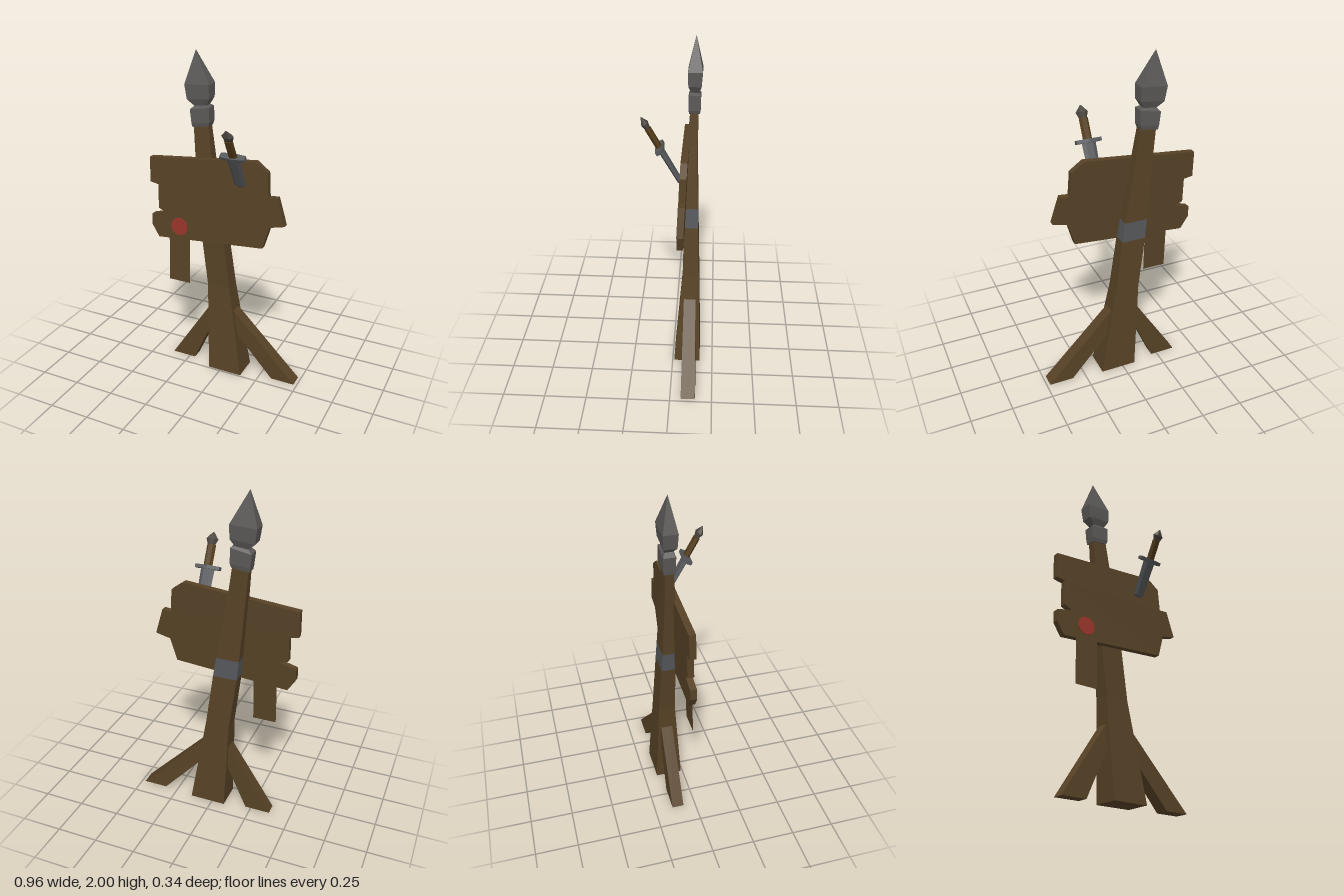
import * as THREE from 'three';

const mat = (name, color) => {
  const m = new THREE.MeshStandardMaterial({ color, flatShading: true });
  m.name = name;
  return m;
};

// Loft through four-cornered sections, bottom to top: [xLeft, yLeft, xRight, yRight, zBack, zFront]
function loft(sections) {
  const rings = sections.map(([xl, yl, xr, yr, zb, zf]) => [
    [xl, yl, zf], [xr, yr, zf], [xr, yr, zb], [xl, yl, zb],
  ]);
  const pos = [];
  const quad = (a, b, c, d) => pos.push(...a, ...b, ...c, ...a, ...c, ...d);
  for (let i = 0; i < rings.length - 1; i++) {
    const lo = rings[i], hi = rings[i + 1];
    for (let k = 0; k < 4; k++) {
      const n = (k + 1) % 4;
      quad(lo[k], lo[n], hi[n], hi[k]);
    }
  }
  const a = rings[0], b = rings[rings.length - 1];
  quad(a[3], a[2], a[1], a[0]);
  quad(b[0], b[1], b[2], b[3]);
  const g = new THREE.BufferGeometry();
  g.setAttribute('position', new THREE.Float32BufferAttribute(pos, 3));
  g.computeVertexNormals();
  return g;
}

export function createModel() {
  const wood = mat('wood', 0x574226);
  const gripWood = mat('gripWood', 0x523b18);
  const iron = mat('iron', 0x5b5957);
  const steel = mat('steel', 0x55575a);
  const darkIron = mat('darkIron', 0x4a443e);
  const red = mat('red', 0x98352a);
  const cloth = mat('strip', 0x574226);
  cloth.side = THREE.DoubleSide;

  const model = new THREE.Group();
  const add = (parent, name, geometry, material, x = 0, y = 0, z = 0) => {
    const m = new THREE.Mesh(geometry, material);
    m.name = name;
    m.position.set(x, y, z);
    parent.add(m);
    return m;
  };

  // Leaning, tapered post with an iron band around it
  const bandLow = [-0.147, 0.9, -0.002, 0.9, -0.143, -0.06];
  const bandHigh = [-0.158, 1.02, -0.02, 1.02, -0.139, -0.062];
  add(model, 'lowerPost', loft([
    [-0.08, 0, 0.14, 0, -0.17, -0.01],
    [-0.105, 0.58, 0.04, 0.58, -0.154, -0.055],
    bandLow,
  ]), wood);
  add(model, 'postBand', loft([bandLow, bandHigh]), steel);
  add(model, 'upperPost', loft([
    bandHigh,
    [-0.188, 1.39, -0.083, 1.39, -0.13, -0.07],
    [-0.205, 1.6, -0.112, 1.6, -0.13, -0.085],
  ]), wood);

  // Bracing legs
  add(model, 'rightLeg', loft([
    [-0.37, 0, -0.215, 0, -0.142, -0.072],
    [-0.05, 0.5, -0.05, 0.37, -0.14, -0.07],
  ]), wood);
  add(model, 'leftLeg', loft([
    [0.33, 0, 0.48, 0, -0.15, -0.065],
    [0.03, 0.33, 0.03, 0.465, -0.135, -0.065],
  ]), wood);

  // Spear head: collar, neck and four-sided point
  add(model, 'spearHead', loft([
    [-0.21, 1.565, -0.108, 1.58, -0.138, -0.08],
    [-0.214, 1.59, -0.101, 1.602, -0.143, -0.075],
    [-0.223, 1.668, -0.102, 1.69, -0.143, -0.075],
    [-0.2, 1.69, -0.122, 1.7, -0.132, -0.087],
    [-0.24, 1.725, -0.1, 1.74, -0.146, -0.073],
    [-0.253, 1.81, -0.1, 1.82, -0.152, -0.07],
    [-0.198, 2, -0.197, 2, -0.112, -0.111],
  ]), iron);

  // Broken sign board, tilted so its bottom edge sits further forward
  const tilt = (y) => -0.025 - (y - 0.85) * 0.035;
  const outline = [
    [-0.48, 1.36], [-0.48, 1.205], [-0.425, 1.195], [-0.425, 1.045], [-0.38, 1.025],
    [-0.472, 0.998], [-0.472, 0.93], [-0.425, 0.855], [0.26, 0.912], [0.3, 1.05],
    [0.39, 1.072], [0.34, 1.233], [0.285, 1.228], [0.275, 1.37], [0.2, 1.425],
  ];
  const boardGeo = new THREE.ExtrudeGeometry(
    new THREE.Shape(outline.map(([x, y]) => new THREE.Vector2(x, y))),
    { depth: 0.038, bevelEnabled: false });
  const p = boardGeo.attributes.position;
  for (let i = 0; i < p.count; i++) p.setZ(i, p.getZ(i) - 0.038 + tilt(p.getY(i)));
  boardGeo.computeVertexNormals();
  add(model, 'signBoard', boardGeo, wood);

  // Hanging strip held by a round red seal
  const strip = add(model, 'hangingStrip', new THREE.PlaneGeometry(0.142, 0.375), cloth,
    -0.278, 0.772, tilt(0.772) + 0.005);
  strip.rotation.x = -0.035;
  const seal = add(model, 'redSeal', new THREE.CylinderGeometry(0.055, 0.055, 0.006, 20), red,
    -0.28, 0.95, tilt(0.95) + 0.006);
  seal.rotation.x = Math.PI / 2 - 0.035;

  // Dagger stuck into the board, leaning forward
  const dagger = new THREE.Group();
  dagger.name = 'dagger';
  dagger.position.set(0.113, 1.473, 0.07);
  dagger.rotation.x = 0.51;
  model.add(dagger);

  const prism = (rTop, rBottom, h, sides, flat) => {
    const g = new THREE.CylinderGeometry(rTop, rBottom, h, sides);
    g.rotateY(Math.PI / 2);
    g.scale(1, 1, flat);
    return g;
  };
  add(dagger, 'blade', prism(0.042, 0.036, 0.225, 6, 0.36), steel, 0, -0.11, 0);
  add(dagger, 'bladeTip', prism(0.036, 0.002, 0.035, 6, 0.36), steel, 0, -0.24, 0);
  const guardShape = new THREE.Shape([
    [-0.074, -0.017], [0, -0.024], [0.074, -0.017], [0.074, 0.017], [0, 0.024], [-0.074, 0.017],
  ].map(([x, y]) => new THREE.Vector2(x, y)));
  const guardGeo = new THREE.ExtrudeGeometry(guardShape, { depth: 0.02, bevelEnabled: false });
  guardGeo.rotateX(-Math.PI / 2);
  add(dagger, 'guard', guardGeo, steel, 0, -0.01, 0);
  add(dagger, 'grip', prism(0.027, 0.027, 0.125, 6, 0.65), gripWood, 0.003, 0.068, 0);
  add(dagger, 'pommelBase', prism(0.037, 0.022, 0.035, 6, 0.55), darkIron, 0.005, 0.145, 0);
  add(dagger, 'pommelTop', prism(0.003, 0.037, 0.04, 6, 0.55), darkIron, 0.005, 0.182, 0);

  return model;
}
